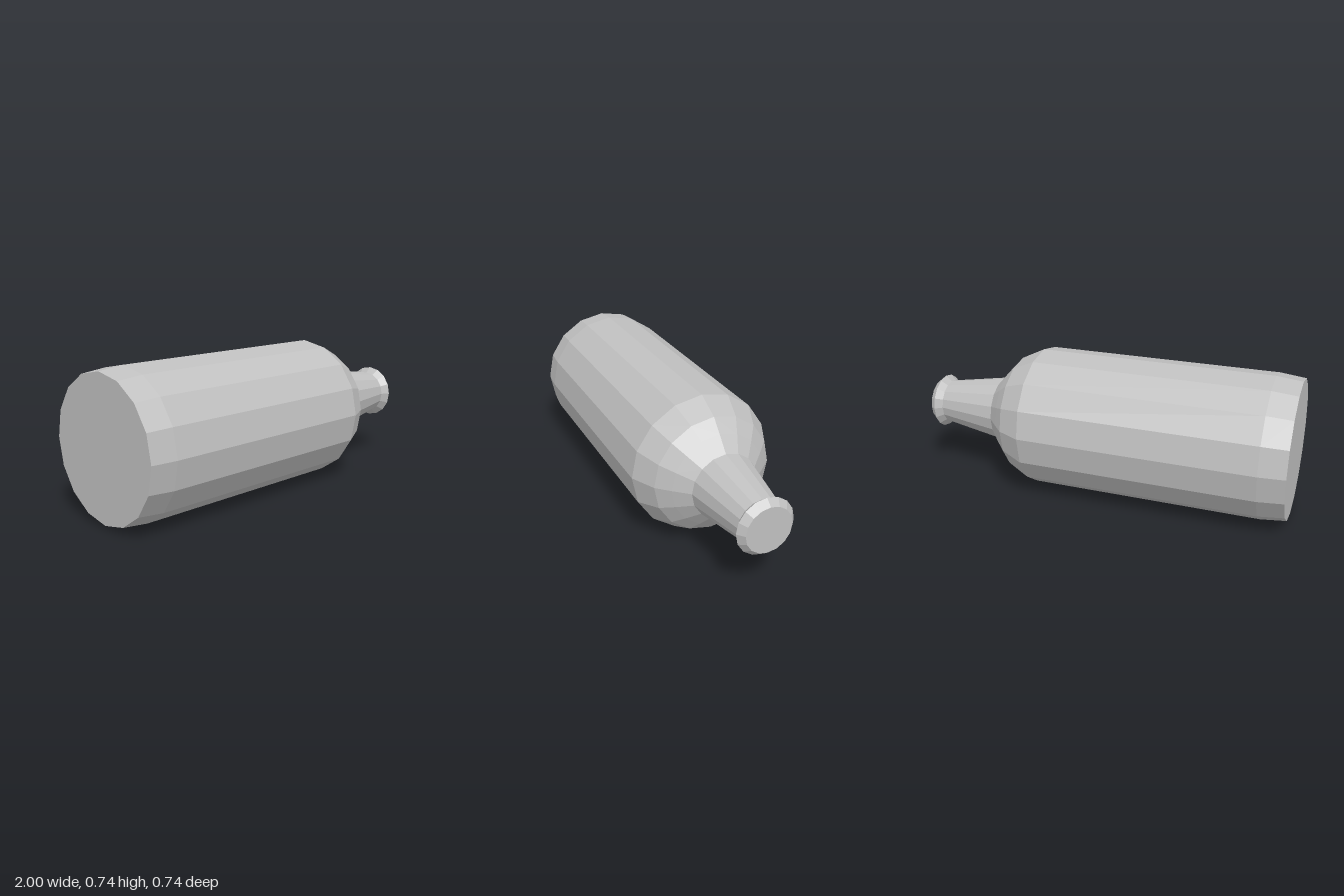
import * as THREE from 'three';

const SIDES = 16;
const AXIS_HEIGHT = 0.369;

export function createModel() {
  const bottle = new THREE.Group();
  bottle.name = 'bottle';

  const grey = new THREE.MeshStandardMaterial({ color: 0xc0c0c0 });
  grey.name = 'grey';
  grey.flatShading = true;

  // Each part is a ring profile of [position along x, radius], turned about the x axis
  const addPart = (name, profile) => {
    const points = profile.map(([x, r]) => new THREE.Vector2(r, x));
    const geometry = new THREE.LatheGeometry(points, SIDES);
    geometry.rotateZ(-Math.PI / 2);
    geometry.translate(0, AXIS_HEIGHT, 0);
    const mesh = new THREE.Mesh(geometry, grey);
    mesh.name = name;
    bottle.add(mesh);
  };

  // Closed base with a slight taper, then the straight barrel
  addPart('body', [[-1, 0], [-1, 0.355], [-0.87, 0.369], [0.35, 0.369]]);
  // Rounded shoulder
  addPart('shoulder', [[0.35, 0.369], [0.475, 0.308], [0.535, 0.245], [0.6, 0.172]]);
  // Tapered neck
  addPart('neck', [[0.6, 0.172], [0.93, 0.117]]);
  // Flared lip with a closed mouth
  addPart('lip', [[0.93, 0.117], [0.965, 0.146], [1, 0.117], [1, 0]]);

  return bottle;
}
